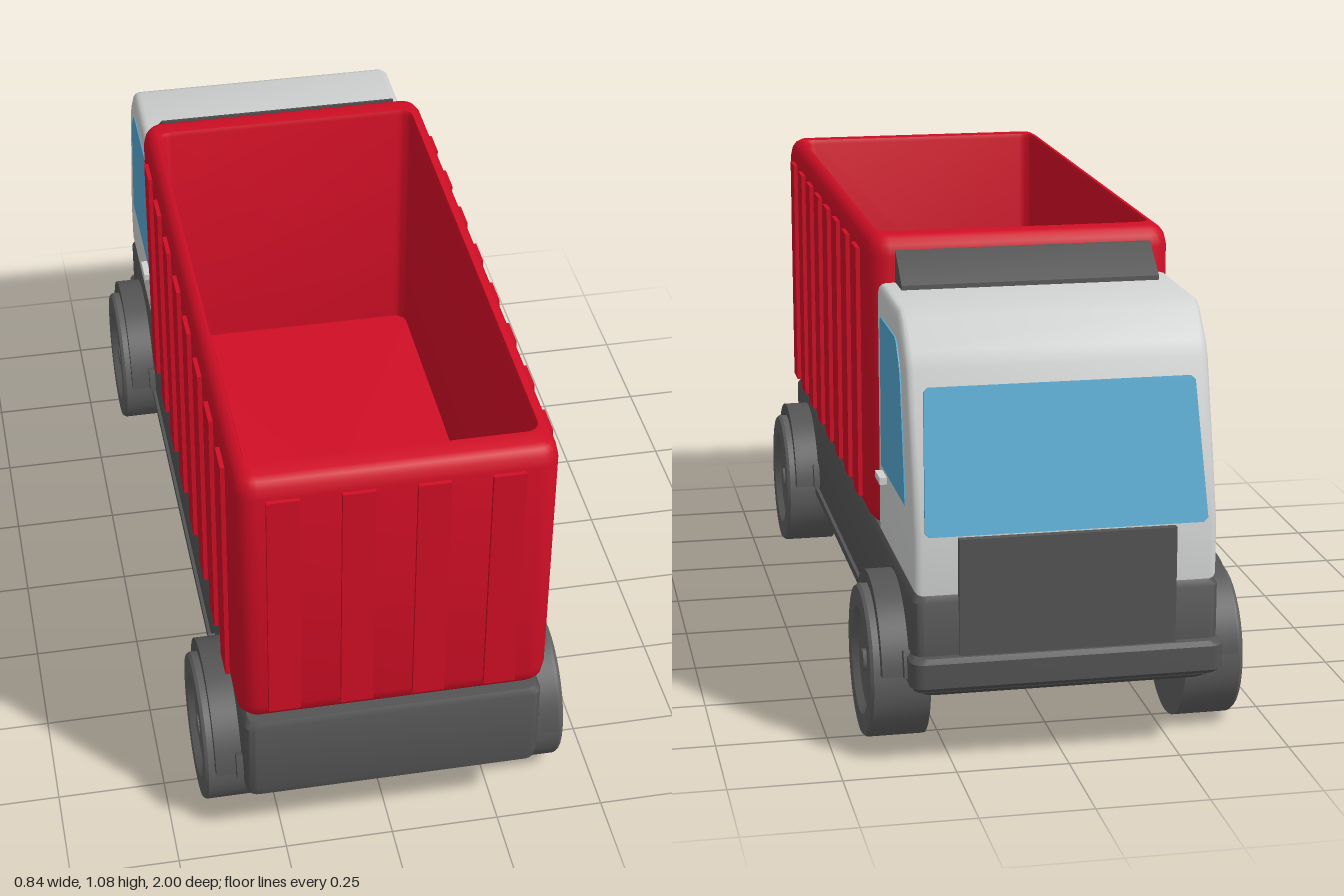
import * as THREE from 'three';
import { toCreasedNormals } from 'three/addons/utils/BufferGeometryUtils.js';

const mat = (name, color) => Object.assign(new THREE.MeshStandardMaterial({ color }), { name });

// Stacked rounded rectangles; each ring is [y, half width, z min, z max, corner radius]
function loft(rings, n = 5) {
  const pos = [], index = [], count = 4 * (n + 1);
  for (const [y, hx, z0, z1, r] of rings) {
    const hz = (z1 - z0) / 2, mid = (z0 + z1) / 2;
    for (let q = 0; q < 4; q++) for (let k = 0; k <= n; k++) {
      const a = (q + k / n) * Math.PI / 2;
      const sx = q === 0 || q === 3 ? 1 : -1, sz = q < 2 ? 1 : -1;
      pos.push(sx * (hx - r) + r * Math.cos(a), y, mid + sz * (hz - r) + r * Math.sin(a));
    }
  }
  for (let i = 0; i < rings.length - 1; i++) for (let j = 0; j < count; j++) {
    const a = i * count + j, b = i * count + (j + 1) % count, c = b + count, d = a + count;
    index.push(a, d, c, a, c, b);
  }
  const geo = new THREE.BufferGeometry();
  geo.setAttribute('position', new THREE.Float32BufferAttribute(pos, 3));
  geo.setIndex(index);
  return toCreasedNormals(geo, 0.7);
}

const shapeOf = pts => new THREE.Shape(pts.map(p => new THREE.Vector2(...p)));

// Side profile of [-z, y] points, extruded across x and centred on x = 0
function sideExtrude(shape, width, bevel = 0) {
  const geo = new THREE.ExtrudeGeometry(shape, {
    depth: width - 2 * bevel, bevelEnabled: bevel > 0, bevelSize: bevel, bevelThickness: bevel,
    bevelOffset: -bevel, bevelSegments: 3, curveSegments: 24,
  });
  geo.translate(0, 0, bevel - width / 2);
  geo.rotateY(Math.PI / 2);
  return toCreasedNormals(geo, 0.6);
}

// Ring sector around the origin, for wheel arches
function sector(r0, r1, a0, a1) {
  const s = new THREE.Shape();
  s.absarc(0, 0, r1, a0, a1, false);
  s.absarc(0, 0, r0, a1, a0, true);
  return s;
}

export function createModel() {
  const truck = new THREE.Group();
  truck.name = 'truck';
  const red = mat('container red', 0xd00e25), white = mat('cab light grey', 0xd0d2d1);
  const blue = mat('window blue', 0x55a9d0), dark = mat('chassis grey', 0x545454);
  const tyre = mat('wheel grey', 0x5f5f5f);

  const add = (name, geo, material, x = 0, y = 0, z = 0) => {
    const m = new THREE.Mesh(geo, material);
    m.name = name;
    m.position.set(x, y, z);
    truck.add(m);
    return m;
  };
  const box = (name, material, w, h, d, x, y, z) => add(name, new THREE.BoxGeometry(w, h, d), material, x, y, z);

  // Open container: outside, rounded rim, inside walls, floor
  const outer = (y, i) => [y, 0.352 - i, -0.47 + i, 0.99 - i, Math.max(0.05 - i, 0.012)];
  const inner = (y, i) => [y, 0.315 + i, -0.395 - i, 0.915 + i, 0.03];
  const centre = y => [y, 0, 0.26, 0.26, 0];
  add('container', loft([
    centre(0.395), outer(0.395, 0.04), outer(0.405, 0.018), outer(0.42, 0.005), outer(0.445, 0),
    outer(1.035, 0), outer(1.06, 0.006), outer(1.073, 0.016), outer(1.08, 0.03),
    inner(1.08, 0.004), inner(1.07, 0), inner(0.45, 0), centre(0.45),
  ]), red);

  // Container ribs
  for (let i = 0; i < 8; i++) for (const s of [-1, 1]) {
    box('sideRib', red, 0.024, 0.595, 0.072, s * 0.35, 0.735, -0.305 + i * 0.162);
  }
  for (let i = 0; i < 4; i++) box('rearRib', red, 0.072, 0.595, 0.02, -0.25 + i * 0.162, 0.735, 0.99);

  // Chassis and bumper
  const base = (y, hx, i = 0) => [y, hx, -0.972 + i, 0.997 - i, 0.025];
  const baseCentre = y => [y, 0, 0, 0, 0];
  add('chassis', loft([
    baseCentre(0.163), base(0.163, 0.315, 0.02), base(0.175, 0.335, 0.004), base(0.2, 0.34),
    base(0.38, 0.34), base(0.395, 0.33, 0.008), baseCentre(0.395),
  ]), dark);
  const bump = (y, i) => [y, 0.348 - i, -1 + i, -0.9, 0.03];
  add('bumper', loft([
    [0.185, 0, -0.95, -0.95, 0], bump(0.185, 0.01), bump(0.195, 0),
    bump(0.25, 0), bump(0.26, 0.01), [0.26, 0, -0.95, -0.95, 0],
  ]), dark);
  for (const s of [-1, 1]) box('sill', dark, 0.02, 0.02, 1.15, s * 0.336, 0.18, 0.01);

  // Cab body
  add('cab', sideExtrude(shapeOf([
    [0.485, 0.395], [0.965, 0.395], [0.965, 0.52], [0.93, 0.655], [0.868, 0.872], [0.85, 0.905],
    [0.79, 0.968], [0.76, 0.982], [0.5, 0.982], [0.485, 0.967],
  ]), 0.672, 0.018), white);

  // Front panel and roof deflector
  box('frontPanel', dark, 0.48, 0.28, 0.03, 0, 0.382, -0.967);
  add('roofDeflector', sideExtrude(shapeOf([
    [0.493, 0.975], [0.585, 0.975], [0.583, 0.992], [0.503, 1.052], [0.493, 1.055],
  ]), 0.59), dark);

  // Windows
  const sideWindow = sideExtrude(shapeOf([
    [0.543, 0.57], [0.867, 0.57], [0.855, 0.65], [0.815, 0.845], [0.8, 0.872],
    [0.765, 0.91], [0.745, 0.917], [0.553, 0.917], [0.543, 0.907],
  ]), 0.008);
  for (const s of [-1, 1]) {
    add('sideWindow', sideWindow, blue, s * 0.335);
    box('doorHandle', white, 0.02, 0.016, 0.065, s * 0.343, 0.55, -0.577);
  }
  const screen = new THREE.ExtrudeGeometry(shapeOf([
    [-0.302, -0.16], [0.302, -0.16], [0.312, -0.15], [0.3, 0.15], [0.29, 0.16],
    [-0.29, 0.16], [-0.3, 0.15], [-0.312, -0.15],
  ]), { depth: 0.009, bevelEnabled: false });
  screen.translate(0, 0, -0.0045);
  add('windscreen', screen, blue, 0, 0.68, -0.9245).rotation.x = 0.272;

  // Wheels with dished faces, and wheel arches
  const profile = [[0, -0.066], [0.172, -0.066], [0.172, 0.06], [0.167, 0.067], [0.122, 0.067],
    [0.108, 0.052], [0.09, 0.047], [0.026, 0.047], [0, 0.047]].map(p => new THREE.Vector2(...p));
  const wheel = toCreasedNormals(new THREE.LatheGeometry(profile, 36), 0.4);
  const hub = new THREE.CylinderGeometry(0.025, 0.025, 0.02, 6);
  const arch = sideExtrude(sector(0.176, 0.203, 0.14, Math.PI - 0.14), 0.08);
  const feet = [[0.14, 0.42], [Math.PI - 0.42, Math.PI - 0.14]]
    .map(([a, b]) => sideExtrude(sector(0.19, 0.225, a, b), 0.03));
  for (const z of [0.745, -0.727]) for (const s of [-1, 1]) {
    add('wheel', wheel, tyre, s * 0.354, 0.172, z).rotation.z = -s * Math.PI / 2;
    add('wheelHub', hub, tyre, s * 0.405, 0.172, z).rotation.z = -s * Math.PI / 2;
    add('wheelArch', arch, dark, s * 0.36, 0.172, z);
    for (const f of feet) add('archFoot', f, dark, s * 0.34, 0.172, z);
  }
  return truck;
}
